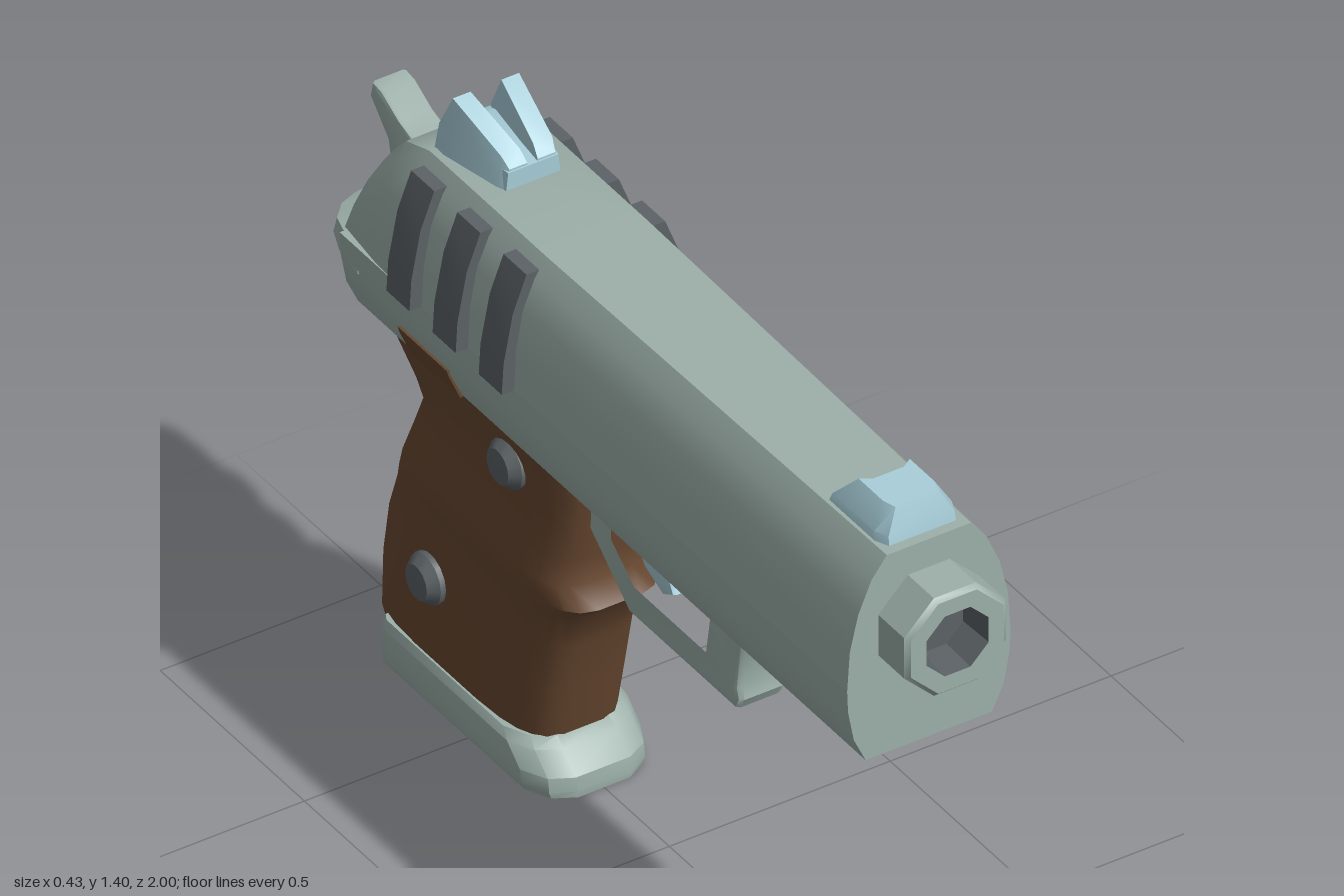
import * as THREE from 'three';
import { toCreasedNormals } from 'three/addons/utils/BufferGeometryUtils.js';

const mat = (name, color) => new THREE.MeshStandardMaterial({ name, color });

// Skin a list of closed rings of [x, y, z] points and cap both ends
function loft(rings, crease = 0.6) {
  const tris = [];
  const n = rings[0].length;
  for (let i = 0; i + 1 < rings.length; i++) {
    for (let j = 0; j < n; j++) {
      const k = (j + 1) % n, a = rings[i], b = rings[i + 1];
      tris.push([a[j], a[k], b[k]], [a[j], b[k], b[j]]);
    }
  }
  const cap = (ring, flip) => {
    const c = [0, 1, 2].map(d => ring.reduce((s, p) => s + p[d], 0) / n);
    for (let j = 0; j < n; j++) {
      const p = ring[j], q = ring[(j + 1) % n];
      tris.push(flip ? [c, q, p] : [c, p, q]);
    }
  };
  cap(rings[0], true);
  cap(rings[rings.length - 1], false);
  // Turn the faces outward if the enclosed volume is negative
  let volume = 0;
  for (const [a, b, c] of tris) {
    volume += a[0] * (b[1] * c[2] - b[2] * c[1]) + a[1] * (b[2] * c[0] - b[0] * c[2]) + a[2] * (b[0] * c[1] - b[1] * c[0]);
  }
  if (volume < 0) tris.forEach(t => t.reverse());
  const geo = new THREE.BufferGeometry();
  geo.setAttribute('position', new THREE.Float32BufferAttribute(tris.flat(2), 3));
  return toCreasedNormals(geo, crease);
}

// Extrude a [z, y] outline across x, with slightly bevelled edges
function sidePlate(outline, half, bevel, hole) {
  const shape = new THREE.Shape(outline.map(p => new THREE.Vector2(...p)));
  if (hole) shape.holes.push(new THREE.Path(hole.map(p => new THREE.Vector2(...p))));
  const depth = 2 * (half - bevel);
  const geo = new THREE.ExtrudeGeometry(shape, {
    depth, bevelEnabled: true, bevelSize: bevel, bevelThickness: bevel, bevelOffset: -bevel, bevelSegments: 2,
  });
  geo.translate(0, 0, -depth / 2).rotateY(-Math.PI / 2);
  return toCreasedNormals(geo, 0.7);
}

// Mirror a half profile of [x, y] into a ring
const mirror = half => [...half, ...half.slice().reverse().map(([x, y]) => [-x, y])];
const atZ = (ring, z) => ring.map(([x, y]) => [x, y, z]);

// Rounded horizontal ring between two z values
function roundedRing(y, front, back, half, power = 0.5, n = 24) {
  return Array.from({ length: n }, (_, i) => {
    const t = ((i + 0.5) / n) * Math.PI * 2, c = Math.cos(t), s = Math.sin(t);
    const round = v => Math.sign(v) * Math.abs(v) ** power;
    return [half * round(c), y, (front + back) / 2 + ((front - back) / 2) * round(s)];
  });
}

export function createModel() {
  const model = new THREE.Group();
  model.name = 'pistol';
  const metal = mat('grey green metal', 0x9db0a9);
  const dark = mat('dark grey', 0x5c6266);
  const wood = mat('brown grip', 0x684830);
  const blue = mat('pale blue', 0xa8ced9);
  const add = (name, geo, material) => {
    const mesh = new THREE.Mesh(geo, material);
    mesh.name = name;
    model.add(mesh);
    return mesh;
  };

  // Slide, with a rounded and raked rear end
  const slideFront = mirror([[0.185, 0.99], [0.179, 1.08], [0.16, 1.16], [0.13, 1.23], [0.095, 1.275]]);
  const slideRear = mirror([[0.185, 0.99], [0.181, 1.08], [0.165, 1.17], [0.138, 1.235], [0.112, 1.275]]);
  const squash = (ring, top, k) => ring.map(([x, y]) => [x * k, 0.99 + (y - 0.99) * (top - 0.99) / 0.285]);
  add('slide', loft([
    atZ(slideFront, 0.9),
    atZ(slideRear, -0.25),
    atZ(slideRear, -0.66),
    atZ(squash(slideRear, 1.245, 0.98), -0.745),
    squash(slideRear, 1.2, 0.9).map(([x, y]) => [x, y, -0.79 - (1.2 - y) * 0.38]),
  ]), metal);

  // Grip serrations on both sides of the slide
  const rib = [[0.213, 0.99], [0.209, 1.06], [0.188, 1.17], [0.157, 1.25], [0.12, 1.25], [0.12, 0.99]];
  for (const s of [1, -1]) {
    for (const z of [-0.255, -0.415, -0.575]) {
      const ring = rib.map(([x, y]) => [s * x, y]);
      add('slideRib', loft([atZ(ring, z), atZ(ring, z - 0.08)]), dark);
    }
  }

  // Lower frame and the tang behind it
  const frame = mirror([[0.185, 0.99], [0.183, 0.94], [0.17, 0.87], [0.143, 0.812]]);
  add('frame', loft([atZ(frame, 0.9), atZ(frame, -0.86)]), metal);
  const tang = [[-0.8, 0.87, 0.99, 0.184], [-0.87, 0.897, 0.985, 0.18], [-0.92, 0.917, 0.975, 0.16],
    [-0.965, 0.932, 0.965, 0.118], [-0.99, 0.942, 0.956, 0.07], [-1, 0.946, 0.952, 0.035]];
  add('tang', loft(tang.map(([z, lo, hi, w]) =>
    atZ(mirror([[w * 0.75, lo], [w, lo + (hi - lo) * 0.5], [w * 0.95, hi]]), z))), metal);

  // Eight-sided barrel with a dark bore
  const lathe = (pts, sides, phase) =>
    toCreasedNormals(new THREE.LatheGeometry(pts.map(p => new THREE.Vector2(...p)), sides, phase), 0.6);
  const barrel = lathe([[0.124, 0.85], [0.124, 0.99], [0.114, 1], [0.076, 1]], 8, Math.PI / 8);
  add('barrel', barrel.rotateX(Math.PI / 2).translate(0, 1.095, 0), metal);
  const bore = lathe([[0.076, 1], [0.07, 0.92], [0, 0.92]], 8, Math.PI / 8);
  add('bore', bore.rotateX(Math.PI / 2).translate(0, 1.095, 0), dark);

  // Hammer
  add('hammer', sidePlate([[-0.78, 1.15], [-0.83, 1.165], [-0.88, 1.18], [-0.94, 1.212], [-0.972, 1.217],
    [-0.98, 1.18], [-0.918, 1.115], [-0.905, 1.055], [-0.87, 1.02], [-0.78, 1.02]], 0.04, 0.008), metal);

  // Front sight, notched at the back
  const sightRing = (y, w, front, back, notch) => [[w * 0.85, y, front], [w, y, front - 0.03], [w, y, back],
    [w * 0.6, y, notch], [-w * 0.6, y, notch], [-w, y, back], [-w, y, front - 0.03], [-w * 0.85, y, front]];
  add('frontSight', loft([
    sightRing(1.26, 0.09, 0.88, 0.685, 0.72),
    sightRing(1.295, 0.088, 0.875, 0.7, 0.73),
    sightRing(1.345, 0.058, 0.86, 0.745, 0.76),
  ]), blue);

  // Rear sight: a base with two raised prongs
  const base = (w, hi) => mirror([[w, 1.26], [w * 0.9, hi]]);
  add('rearSightBase', loft([
    atZ(base(0.063, 1.315), -0.472),
    atZ(base(0.095, 1.33), -0.64),
    atZ(base(0.092, 1.32), -0.668),
  ]), blue);
  for (const s of [1, -1]) {
    const prong = (z, a, b, c, d, hi) => atZ([[s * a, 1.27], [s * b, 1.27], [s * d, hi], [s * c, hi]], z);
    add('rearSightProng', loft([
      prong(-0.475, 0.005, 0.062, 0.012, 0.052, 1.32),
      prong(-0.495, 0.008, 0.07, 0.015, 0.058, 1.342),
      prong(-0.636, 0.015, 0.098, 0.035, 0.075, 1.398),
      prong(-0.668, 0.018, 0.096, 0.032, 0.085, 1.325),
    ]), blue);
  }

  // Grip: rows of y, front z, back z, half width
  const gripRows = [[0.09, -0.298, -0.88, 0.124], [0.22, -0.268, -0.877, 0.124], [0.34, -0.242, -0.857, 0.124],
    [0.43, -0.21, -0.825, 0.126], [0.47, -0.168, -0.81, 0.135], [0.515, -0.203, -0.79, 0.14],
    [0.58, -0.194, -0.765, 0.132], [0.665, -0.185, -0.733, 0.124], [0.72, -0.178, -0.765, 0.13],
    [0.815, -0.165, -0.855, 0.143]];
  add('grip', loft(gripRows.map(r => roundedRing(...r)), 0.9), wood);
  // Raised tab of the grip over the frame
  const tab = mirror([[0.147, 0.806], [0.174, 0.868], [0.178, 0.882]]);
  add('gripTab', loft([atZ(tab, -0.5), atZ(tab, -0.67)]), wood);

  // Domed grip screws
  for (const s of [1, -1]) {
    for (const [y, z] of [[0.735, -0.358], [0.29, -0.64]]) {
      const screw = lathe([[0.055, 0.1], [0.055, 0.135], [0.038, 0.156], [0, 0.16]], 14, 0);
      add('gripScrew', screw.rotateZ(-s * Math.PI / 2).translate(0, y, z), dark);
    }
  }

  // Magazine base plate, rounded in front and square behind
  const plateRing = (y, front, w) => {
    const half = [[0.45, front], [0.8, front - 0.025], [1, front - 0.08], [1, -0.785], [0.93, -0.802]];
    return mirror(half.map(([x, z]) => [x * w, z])).map(([x, z]) => [x, y, z]);
  };
  add('basePlate', loft([
    plateRing(0, -0.226, 0.13),
    plateRing(0.015, -0.225, 0.136),
    plateRing(0.045, -0.23, 0.136),
    plateRing(0.085, -0.275, 0.136),
    plateRing(0.102, -0.3, 0.128),
  ]), metal);

  // Trigger guard and trigger
  add('triggerGuard', sidePlate(
    [[0.36, 0.82], [0.36, 0.765], [0.338, 0.74], [0.318, 0.585], [0.325, 0.56], [0.312, 0.535], [-0.06, 0.535],
      [-0.2, 0.65], [-0.2, 0.82]], 0.056, 0.014,
    [[0.25, 0.757], [0.225, 0.595], [-0.04, 0.595], [-0.13, 0.665], [-0.13, 0.757]]), metal);
  add('trigger', sidePlate([[0.037, 0.775], [0.032, 0.7], [0.064, 0.64], [0.027, 0.62], [-0.037, 0.647],
    [-0.09, 0.71], [-0.107, 0.775]], 0.034, 0.008), blue);

  return model;
}
